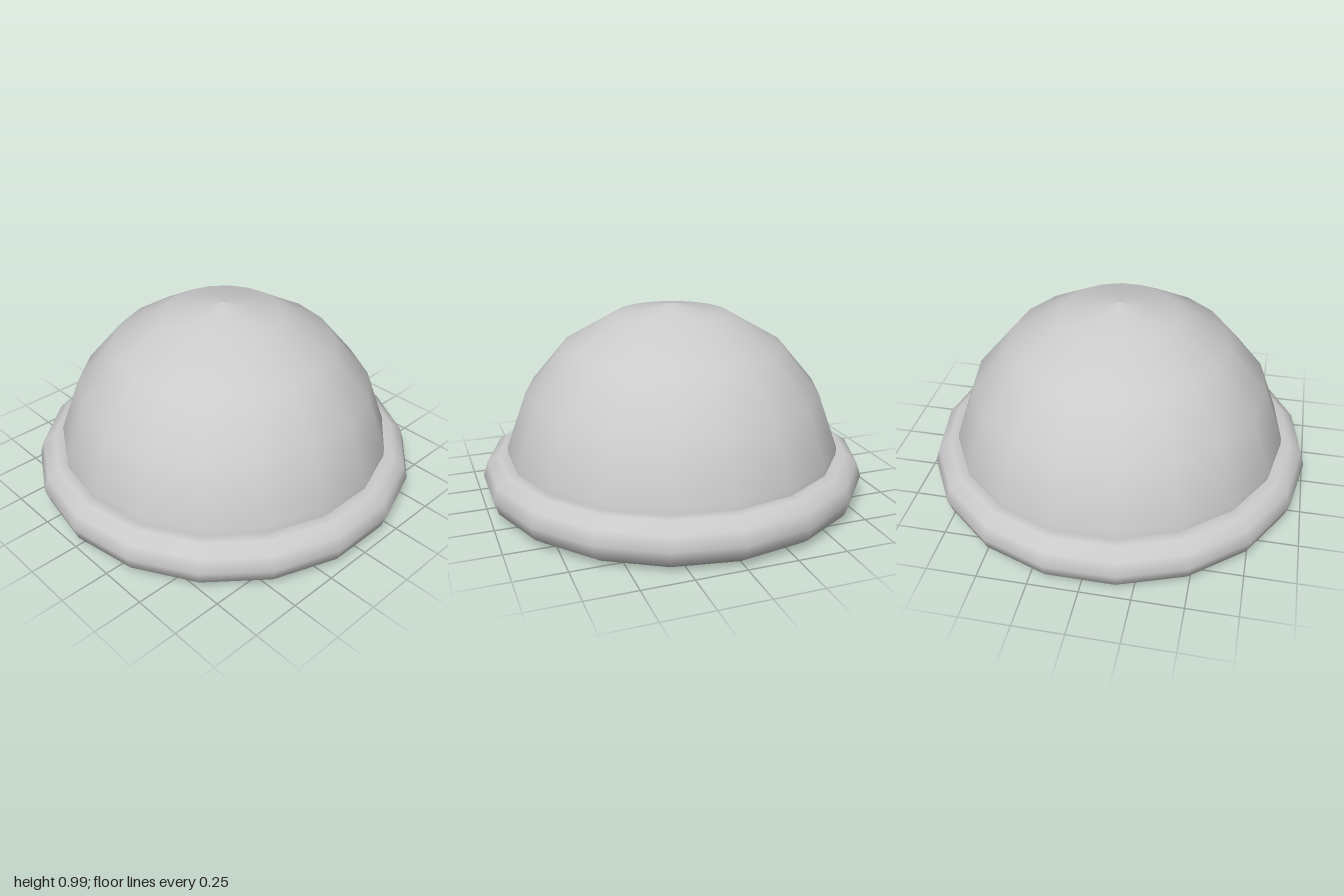
import * as THREE from 'three';

export function createModel() {
  const model = new THREE.Group();
  const sides = 18, radius = 0.88, tube = 0.12;
  const rimY = tube * Math.sin(Math.PI * 0.4); // ten-sided tube rests on its flat

  // Open dome: rings every 20 degrees, ending in a short upright wall inside the rim
  const wall = radius * Math.sin(THREE.MathUtils.degToRad(80));
  const profile = [new THREE.Vector2(wall, 0)];
  for (let deg = 80; deg >= 0; deg -= 20) {
    const a = THREE.MathUtils.degToRad(deg);
    profile.push(new THREE.Vector2(radius * Math.sin(a), radius * Math.cos(a)));
  }
  const dome = new THREE.Mesh(
    new THREE.LatheGeometry(profile, sides),
    new THREE.MeshStandardMaterial({ color: 0xcccccc, side: THREE.DoubleSide })
  );
  dome.name = 'dome';
  dome.position.y = rimY;
  model.add(dome);

  // Rolled rim, corners lined up with the dome's
  const rimGeometry = new THREE.TorusGeometry(radius, tube, 10, sides);
  rimGeometry.rotateX(Math.PI / 2).rotateY(Math.PI / 2);
  const rim = new THREE.Mesh(rimGeometry, new THREE.MeshStandardMaterial({ color: 0xcccccc }));
  rim.name = 'rim';
  rim.position.y = rimY;
  model.add(rim);

  return model;
}
